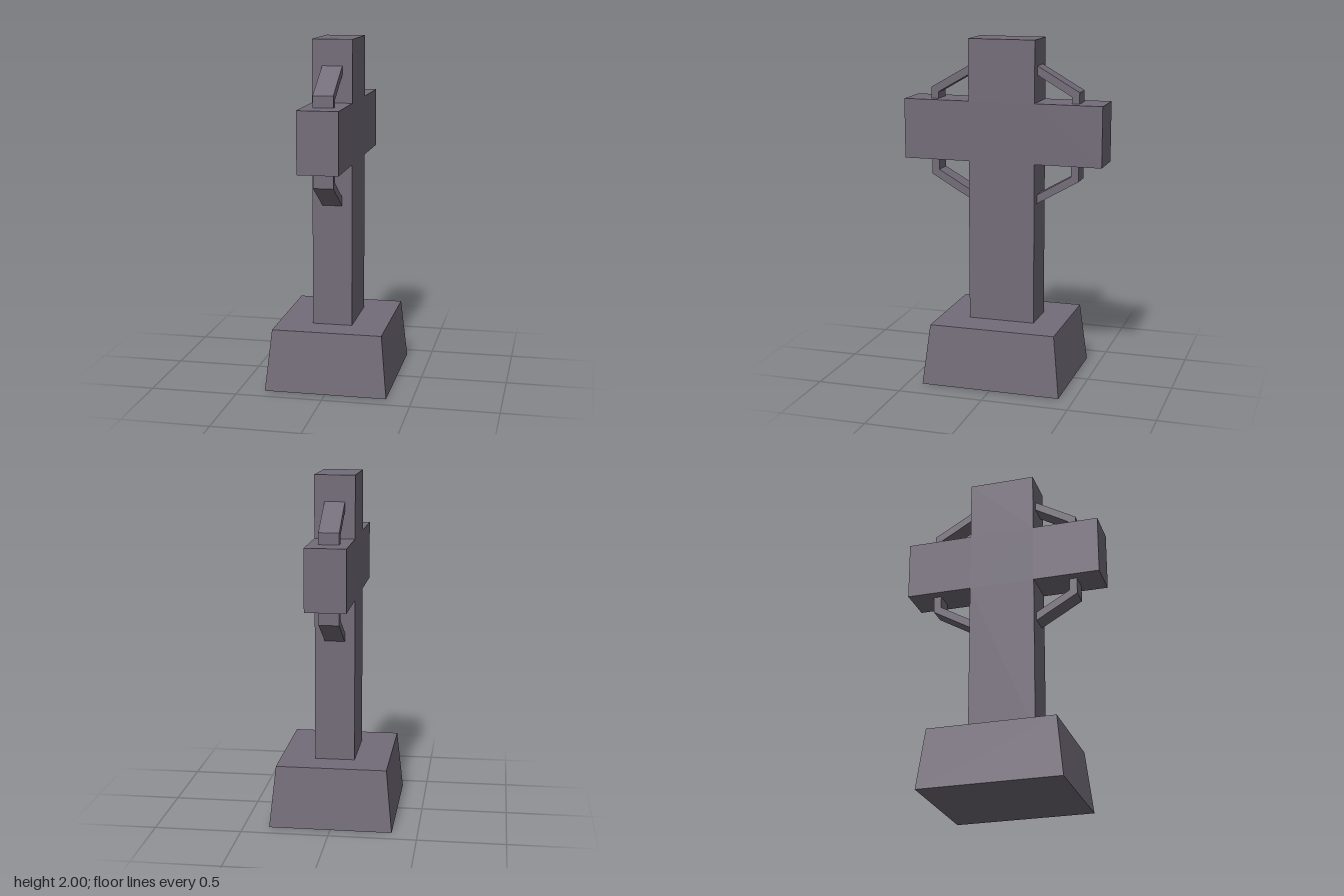
import * as THREE from 'three';

const CROSS_HALF_DEPTH = 0.196;

// Extrudes a shape drawn in (z, y) so it is centred across x
function extrudeAcrossX(shape, width) {
  const geo = new THREE.ExtrudeGeometry(shape, { depth: width, bevelEnabled: false });
  geo.translate(0, 0, -width / 2);
  geo.rotateY(-Math.PI / 2);
  return geo;
}

// Pointed-top hexagon around the origin
function hexagon(radius) {
  return Array.from({ length: 6 }, (_, i) => {
    const a = Math.PI / 6 + (i * Math.PI) / 3;
    return new THREE.Vector2(Math.cos(a) * radius, Math.sin(a) * radius);
  });
}

export function createModel() {
  const group = new THREE.Group();
  const stone = new THREE.MeshStandardMaterial({ color: 0x736c79 });
  stone.name = 'stone';
  stone.flatShading = true;

  const add = (name, geo, y = 0) => {
    const mesh = new THREE.Mesh(geo, stone);
    mesh.name = name;
    mesh.position.y = y;
    group.add(mesh);
  };

  // Plinth: box with its top drawn in
  const plinth = new THREE.BoxGeometry(0.706, 0.355, 0.822);
  const pos = plinth.attributes.position;
  for (let i = 0; i < pos.count; i++) {
    if (pos.getY(i) > 0) {
      pos.setX(i, Math.sign(pos.getX(i)) * 0.317);
      pos.setZ(i, Math.sign(pos.getZ(i)) * 0.371);
    }
  }
  plinth.computeVertexNormals();
  add('plinth', plinth, 0.1775);

  // Shaft and arms as one cross-shaped slab
  const s = CROSS_HALF_DEPTH, arm = 0.587, low = 1.297, high = 1.645;
  const outline = [
    [-s, 0.35], [s, 0.35], [s, low], [arm, low], [arm, high], [s, high],
    [s, 2], [-s, 2], [-s, high], [-arm, high], [-arm, low], [-s, low],
  ].map(([z, y]) => new THREE.Vector2(z, y));
  add('cross', extrudeAcrossX(new THREE.Shape(outline), 0.23));

  // Six-sided ring passing through the arms
  const ring = new THREE.Shape(hexagon(0.51));
  ring.holes.push(new THREE.Path(hexagon(0.458).reverse()));
  add('ring', extrudeAcrossX(ring, 0.115), 1.455);

  return group;
}
